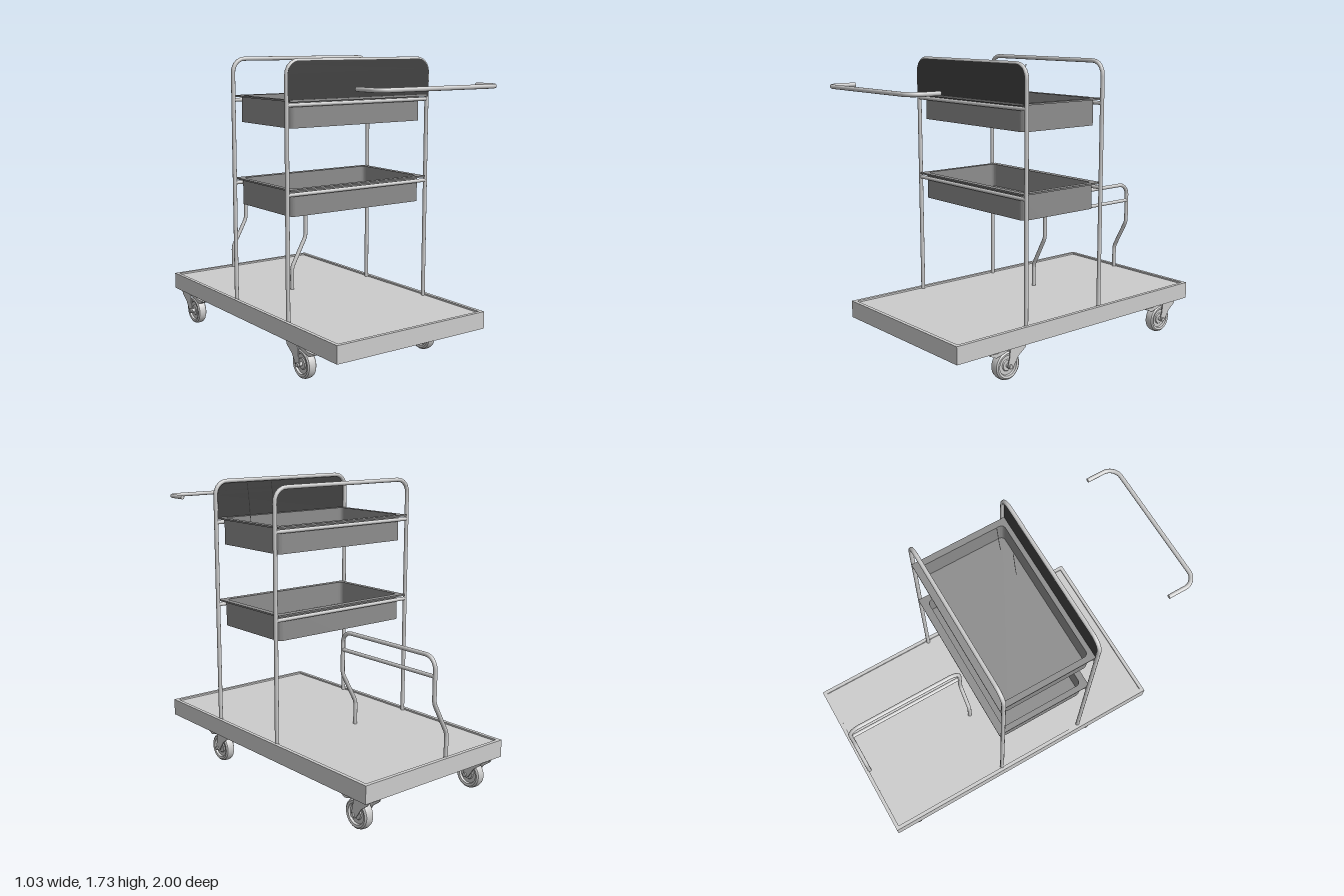
import * as THREE from 'three';
import { toCreasedNormals } from 'three/addons/utils/BufferGeometryUtils.js';

const grey = new THREE.MeshStandardMaterial({ color: 0xcccccc });
const trayGrey = new THREE.MeshStandardMaterial({ color: 0x8c8c8c });
const panelGrey = new THREE.MeshStandardMaterial({ color: 0x404040 });

function add(parent, name, geometry, material = grey, x = 0, y = 0, z = 0) {
  const mesh = new THREE.Mesh(geometry, material);
  mesh.name = name;
  mesh.position.set(x, y, z);
  parent.add(mesh);
  return mesh;
}

// Bent pipe through [x, y, z, bend] points with rounded corners and closed ends
function pipe(parent, name, pts, r = 0.012, segments = 140) {
  const v = pts.map(p => new THREE.Vector3(p[0], p[1], p[2]));
  const path = new THREE.CurvePath();
  let from = v[0];
  for (let i = 1; i < v.length - 1; i++) {
    const t = pts[i][3];
    const a = v[i].clone().add(v[i - 1].clone().sub(v[i]).setLength(t));
    const b = v[i].clone().add(v[i + 1].clone().sub(v[i]).setLength(t));
    path.add(new THREE.LineCurve3(from, a));
    path.add(new THREE.CubicBezierCurve3(a, a.clone().lerp(v[i], 0.55), b.clone().lerp(v[i], 0.55), b));
    from = b;
  }
  path.add(new THREE.LineCurve3(from, v[v.length - 1]));
  const group = new THREE.Group();
  group.name = name;
  parent.add(group);
  add(group, name + 'Tube', new THREE.TubeGeometry(path, v.length > 2 ? segments : 1, r, 12));
  for (const [end, sign] of [[0, -1], [1, 1]]) {
    const p = path.getPointAt(end);
    const cap = add(group, name + 'End', new THREE.CircleGeometry(r, 12), grey, p.x, p.y, p.z);
    cap.quaternion.setFromUnitVectors(new THREE.Vector3(0, 0, 1), path.getTangentAt(end).multiplyScalar(sign));
  }
}

// Rounded rectangle outline
function roundRect(x0, x1, y0, y1, r, Type = THREE.Shape) {
  const s = new Type();
  if (r === 0) {
    s.moveTo(x0, y0); s.lineTo(x1, y0); s.lineTo(x1, y1); s.lineTo(x0, y1); s.closePath();
    return s;
  }
  s.absarc(x1 - r, y0 + r, r, -Math.PI / 2, 0);
  s.absarc(x1 - r, y1 - r, r, 0, Math.PI / 2);
  s.absarc(x0 + r, y1 - r, r, Math.PI / 2, Math.PI);
  s.absarc(x0 + r, y0 + r, r, Math.PI, Math.PI * 1.5);
  s.closePath();
  return s;
}

// Horizontal slab or ring: [x0, x1, z0, z1, radius] outlines, raised from y0 to y1
function slab(outer, inner, y0, y1) {
  const flip = ([x0, x1, z0, z1, r]) => [x0, x1, -z1, -z0, r];
  const shape = roundRect(...flip(outer));
  if (inner) shape.holes.push(roundRect(...flip(inner), THREE.Path));
  const geo = new THREE.ExtrudeGeometry(shape, { depth: y1 - y0, bevelEnabled: false, curveSegments: 6 });
  geo.rotateX(-Math.PI / 2).translate(0, y0, 0);
  return toCreasedNormals(geo, 0.6);
}

// Shape drawn in (z, y), extruded symmetrically across x
function sidePlate(points, width) {
  const shape = new THREE.Shape(points.map(p => new THREE.Vector2(...p)));
  const geo = new THREE.ExtrudeGeometry(shape, { depth: width, bevelEnabled: false });
  return geo.translate(0, 0, -width / 2).rotateY(-Math.PI / 2);
}

// Swivel caster, origin on the floor below the axle
function caster(x, z) {
  const g = new THREE.Group();
  g.name = 'caster';
  g.position.set(x, 0, z);
  const profile = [[0.012, -0.02], [0.03, -0.02], [0.034, -0.014], [0.055, -0.014], [0.059, -0.026],
    [0.072, -0.029], [0.081, -0.022], [0.085, -0.009], [0.085, 0.009], [0.081, 0.022], [0.072, 0.029],
    [0.059, 0.026], [0.055, 0.014], [0.034, 0.014], [0.03, 0.02], [0.012, 0.02]];
  const wheel = new THREE.LatheGeometry(profile.map(p => new THREE.Vector2(...p)), 32);
  add(g, 'wheel', toCreasedNormals(wheel.rotateZ(-Math.PI / 2), 0.6), grey, 0, 0.085, 0);
  const cheek = [[-0.115, 0.198], [-0.11, 0.172], [-0.06, 0.135], [-0.02, 0.075], [-0.006, 0.068],
    [0.012, 0.073], [0.017, 0.088], [0.004, 0.135], [0.0, 0.178], [-0.015, 0.198]];
  for (const side of [-1, 1]) {
    add(g, 'forkCheek', sidePlate(cheek, 0.006), grey, side * 0.041);
    const nut = new THREE.CylinderGeometry(0.013, 0.013, 0.01, 6).rotateZ(Math.PI / 2);
    add(g, 'axleNut', nut, grey, side * 0.048, 0.085, 0);
  }
  add(g, 'axle', new THREE.CylinderGeometry(0.012, 0.012, 0.09, 12).rotateZ(Math.PI / 2), grey, 0, 0.085, 0);
  add(g, 'forkCrown', new THREE.BoxGeometry(0.088, 0.012, 0.1), grey, 0, 0.19, -0.065);
  add(g, 'swivel', new THREE.CylinderGeometry(0.04, 0.045, 0.012, 20), grey, 0, 0.2, -0.065);
  add(g, 'mountPlate', new THREE.BoxGeometry(0.11, 0.008, 0.13), grey, 0, 0.21, -0.065);
  // Foot brake
  const lever = [[-0.03, 0.18], [0.0, 0.172], [0.05, 0.156], [0.085, 0.148], [0.128, 0.168],
    [0.126, 0.174], [0.075, 0.172], [0.0, 0.19]];
  add(g, 'brakeLever', sidePlate(lever, 0.055));
  return g;
}

export function createModel() {
  const model = new THREE.Group();
  model.name = 'serviceTrolley';

  // Platform: rim with a slightly sunken deck, hollow below
  add(model, 'platformRim', slab([-0.515, 0.515, -1, 0.815, 0], [-0.493, 0.493, -0.978, 0.793, 0], 0.21, 0.31));
  add(model, 'deck', slab([-0.493, 0.493, -0.978, 0.793, 0], null, 0.288, 0.3));

  for (const x of [-0.44, 0.415]) for (const z of [0.41, -0.845]) model.add(caster(x, z));

  // Front and back hoops with rails under each tray
  const px = 0.487, zFront = 0.322, zBack = -0.237;
  for (const [name, z] of [['frontHoop', zFront], ['backHoop', zBack]]) {
    pipe(model, name, [[-px, 0.29, z], [-px, 1.718, z, 0.075], [px, 1.718, z, 0.075], [px, 0.29, z]]);
    for (const y of [1.485, 1.005]) pipe(model, 'trayRail', [[-px, y, z], [px, y, z]], 0.011);
  }

  // Trays: walls, floor and a flange resting on the rails
  for (const top of [1.512, 1.034]) {
    const tray = new THREE.Group();
    tray.name = 'tray';
    model.add(tray);
    const outer = [-0.455, 0.452, -0.222, 0.312, 0.035];
    const inner = [-0.442, 0.438, -0.209, 0.299, 0.025];
    add(tray, 'trayWalls', slab(outer, inner, top - 0.152, top), trayGrey);
    add(tray, 'trayFloor', slab(inner, null, top - 0.152, top - 0.14), trayGrey);
    add(tray, 'trayFlange', slab([-0.475, 0.475, -0.252, 0.337, 0], outer, top - 0.009, top), trayGrey);
  }

  // Panel filling the top of the front hoop
  const panel = new THREE.Shape();
  panel.moveTo(-px, 1.5);
  panel.lineTo(px, 1.5);
  panel.absarc(px - 0.075, 1.643, 0.075, 0, Math.PI / 2);
  panel.absarc(-px + 0.075, 1.643, 0.075, Math.PI / 2, Math.PI);
  panel.closePath();
  add(model, 'frontPanel', new THREE.ExtrudeGeometry(panel, { depth: 0.008, bevelEnabled: false }),
    panelGrey, 0, 0, zFront + 0.004);

  // Detached push handle
  pipe(model, 'pushHandle', [[-0.398, 1.588, 0.815], [-0.398, 1.588, 0.988, 0.07],
    [0.405, 1.588, 0.988, 0.07], [0.405, 1.588, 0.815]]);

  // Cranked rear guard rail with a mid bar
  const zA = -0.245, zB = -0.972, xTop = 0.013, xFoot = -0.088;
  pipe(model, 'guardRail', [[xFoot, 0.24, zA], [xFoot, 0.44, zA, 0.02], [xTop, 0.625, zA, 0.02],
    [xTop, 0.877, zA, 0.07], [xTop, 0.877, zB, 0.07], [xTop, 0.625, zB, 0.02], [xFoot, 0.44, zB, 0.02],
    [xFoot, 0.24, zB]], 0.012, 300);
  pipe(model, 'guardMidBar', [[xTop, 0.77, zA], [xTop, 0.77, zB]], 0.011);

  // Two thin wires standing in the top tray
  for (const x of [0.165, 0.335]) {
    const wire = new THREE.CatmullRomCurve3([[-0.015, 1.49, 0.215], [-0.01, 1.53, 0.212], [0, 1.62, 0.208],
      [0.012, 1.71, 0.205]].map(p => new THREE.Vector3(p[0] + x, p[1], p[2])));
    add(model, 'wire', new THREE.TubeGeometry(wire, 16, 0.002, 6));
  }
  return model;
}
